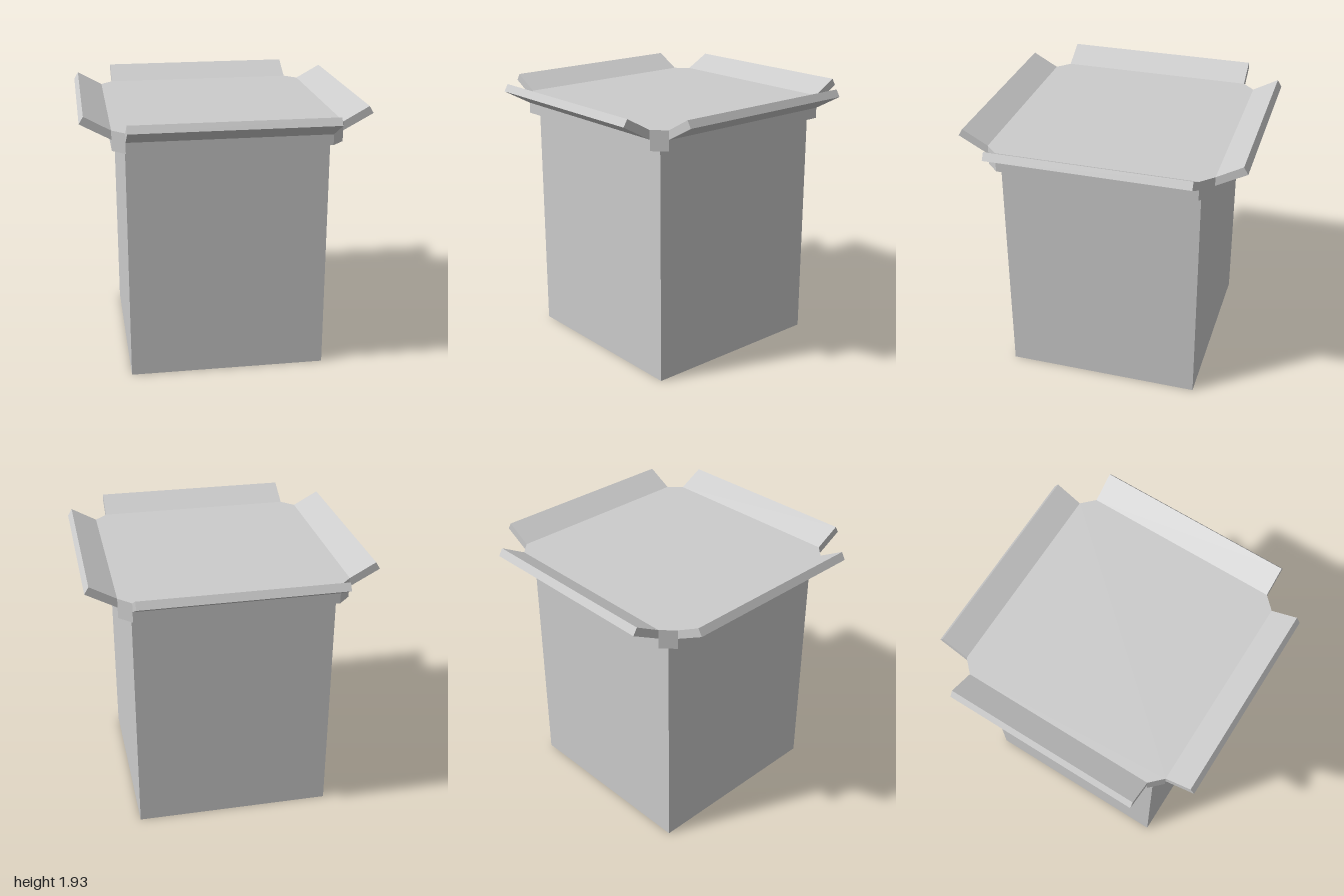
import * as THREE from 'three';

const HALF = 0.703;    // half width of the box and of each flap
const RIM = 0.79;      // half width of the lid slab
const RIM_LOW = 1.69, RIM_TOP = 1.83;

function polygon(points) {
  return new THREE.Shape(points.map(([x, y]) => new THREE.Vector2(x, y)));
}

export function createModel() {
  const model = new THREE.Group();
  model.name = 'flappedBox';
  const material = new THREE.MeshStandardMaterial({ color: 0xcccccc, flatShading: true });

  const add = (name, geometry) => {
    const mesh = new THREE.Mesh(geometry, material);
    mesh.name = name;
    model.add(mesh);
    return mesh;
  };

  // Tall square body
  add('body', new THREE.BoxGeometry(HALF * 2, RIM_LOW, HALF * 2)).position.y = RIM_LOW / 2;

  // Lid slab with cut corners
  const lidShape = polygon([
    [RIM, -HALF], [RIM, HALF], [HALF, RIM], [-HALF, RIM],
    [-RIM, HALF], [-RIM, -HALF], [-HALF, -RIM], [HALF, -RIM],
  ]);
  const lid = new THREE.ExtrudeGeometry(lidShape, { depth: RIM_TOP - RIM_LOW, bevelEnabled: false });
  lid.rotateX(-Math.PI / 2).translate(0, RIM_LOW, 0);
  add('lid', lid);

  // Four flaps tilted up and outward: one cross-section, turned around the lid
  const flapShape = polygon([[RIM, 1.766], [1, 1.88], [0.97, 1.93], [RIM, RIM_TOP]]);
  const flap = new THREE.ExtrudeGeometry(flapShape, { depth: HALF * 2, bevelEnabled: false });
  flap.translate(0, 0, -HALF);
  ['leftFlap', 'backFlap', 'rightFlap', 'frontFlap'].forEach((name, i) => {
    add(name, flap).rotation.y = i * Math.PI / 2;
  });

  return model;
}
